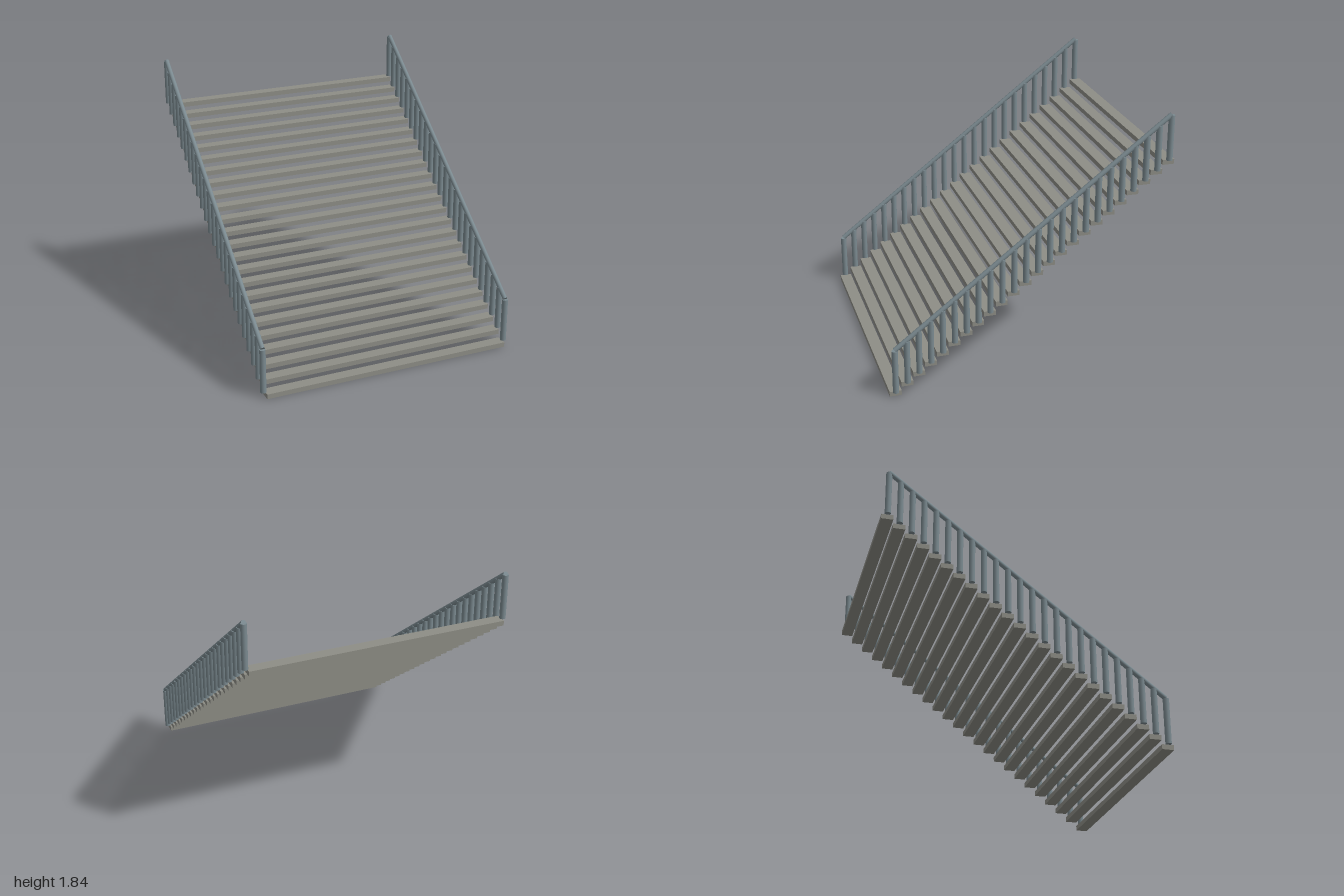
import * as THREE from 'three';

const STEPS = 24;
const PITCH = 2 / STEPS;      // run of one step
const RISE = 0.0638;          // height gained per step
const THICK = 0.035;          // tread thickness
const POST_H = 0.32;
const SIDE_X = 0.922;         // railing distance from the centre

export function createModel() {
  const group = new THREE.Group();
  const stone = new THREE.MeshStandardMaterial({ color: 0x8e8e86 });
  const metal = new THREE.MeshStandardMaterial({ color: 0x7b8a90 });

  const treadGeo = new THREE.BoxGeometry(1.82, THICK, PITCH);
  const postGeo = new THREE.CylinderGeometry(0.0215, 0.0215, POST_H, 12);

  const add = (name, geo, mat, x, y, z) => {
    const mesh = new THREE.Mesh(geo, mat);
    mesh.name = name;
    mesh.position.set(x, y, z);
    group.add(mesh);
    return mesh;
  };

  // Floating treads, each with a baluster at both ends
  for (let i = 0; i < STEPS; i++) {
    const z = 1 - PITCH * (i + 0.5);
    const y = i * RISE;
    add('tread', treadGeo, stone, 0, y + THICK / 2, z);
    for (const s of [-1, 1]) {
      add(s > 0 ? 'leftPost' : 'rightPost', postGeo, metal, s * SIDE_X, y + THICK + POST_H / 2, z);
    }
  }

  // Sloping handrails along the post tops
  const run = PITCH * (STEPS - 1);
  const climb = RISE * (STEPS - 1);
  const railGeo = new THREE.CylinderGeometry(0.017, 0.017, Math.hypot(run, climb), 12);
  for (const s of [-1, 1]) {
    const rail = add(s > 0 ? 'leftHandrail' : 'rightHandrail', railGeo, metal,
      s * SIDE_X, THICK + POST_H + 0.005 + climb / 2, 0);
    rail.rotation.x = -Math.atan2(run, climb);
  }
  return group;
}
